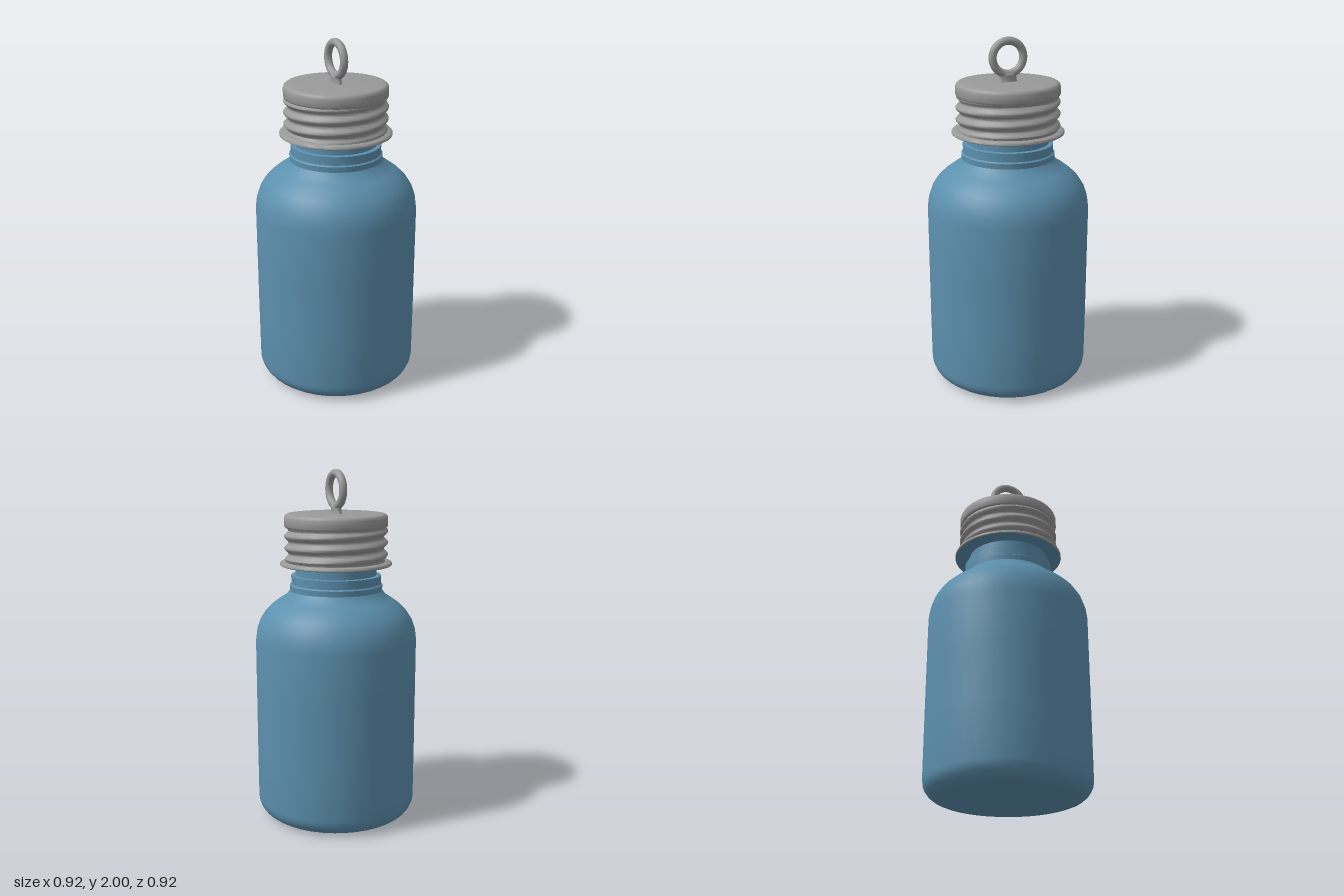
import * as THREE from 'three';
import { toCreasedNormals } from 'three/addons/utils/BufferGeometryUtils.js';

const SEGMENTS = 40;

// Revolve [radius, height] pairs, listed from bottom to top
function revolve(profile, segments = SEGMENTS) {
  return new THREE.LatheGeometry(profile.map(([r, y]) => new THREE.Vector2(r, y)), segments);
}

function addMesh(group, name, geometry, material) {
  const mesh = new THREE.Mesh(geometry, material);
  mesh.name = name;
  group.add(mesh);
  return mesh;
}

// Sleeve whose radius follows a helical wave, fading out at both ends
function threadGeometry(bottom, top, radius, depth, pitch) {
  const rows = 28;
  const profile = [];
  for (let i = 0; i <= rows; i++) profile.push([radius, bottom + (top - bottom) * i / rows]);
  const geometry = revolve(profile, 64);
  const p = geometry.attributes.position;
  for (let i = 0; i < p.count; i++) {
    const angle = Math.atan2(p.getX(i), p.getZ(i));
    const y = p.getY(i);
    const fade = Math.min(1, (y - bottom) / 0.02, (top - y) / 0.02);
    const r = radius + depth * fade * Math.cos(2 * Math.PI * (y - bottom) / pitch - angle);
    p.setX(i, r * Math.sin(angle));
    p.setZ(i, r * Math.cos(angle));
  }
  return toCreasedNormals(geometry, 0.9);
}

export function createModel() {
  const model = new THREE.Group();
  model.name = 'bottle';
  const blue = new THREE.MeshStandardMaterial({ color: 0x5c90ae });
  blue.name = 'blue body';
  const grey = new THREE.MeshStandardMaterial({ color: 0x9a9a9a });
  grey.name = 'grey cap';

  // Bottle body with rounded base and domed shoulder
  const body = [[0, 0], [0.36, 0]];
  for (let i = 1; i <= 6; i++) {
    const a = i / 6 * Math.PI / 2;
    body.push([0.36 + 0.1 * Math.sin(a), 0.1 - 0.1 * Math.cos(a)]);
  }
  body.push([0.461, 0.4], [0.461, 0.75], [0.461, 1.04], [0.453, 1.1], [0.434, 1.155],
    [0.403, 1.203], [0.365, 1.24], [0.325, 1.27], [0.285, 1.295], [0.262, 1.325]);
  addMesh(model, 'body', toCreasedNormals(revolve(body), 0.7), blue);

  // Stepped neck with a collar, closing against the cap
  const neck = [[0.262, 1.315], [0.264, 1.355], [0.255, 1.362], [0.255, 1.41],
    [0.23, 1.412], [0.23, 1.468]];
  addMesh(model, 'neck', toCreasedNormals(revolve(neck), 0.6), blue);
  addMesh(model, 'capSeal', revolve([[0.22, 1.466], [0.312, 1.466]].map(([r, y]) => [r, y])), blue);

  // Cap: flange, screw thread and rounded lid
  const flange = [[0.311, 1.466], [0.317, 1.47], [0.317, 1.48], [0.311, 1.486], [0.27, 1.488]];
  addMesh(model, 'capFlange', toCreasedNormals(revolve(flange), 0.9), grey);
  addMesh(model, 'capThread', threadGeometry(1.484, 1.685, 0.281, 0.012, 0.066), grey);
  const lid = [[0.272, 1.676], [0.287, 1.68], [0.292, 1.69], [0.292, 1.732],
    [0.287, 1.746], [0.277, 1.753], [0.262, 1.755], [0, 1.755]];
  addMesh(model, 'capLid', toCreasedNormals(revolve(lid), 0.9), grey);

  // Carrying loop standing in the yz plane on a flattened stem
  const ring = addMesh(model, 'carryRing', new THREE.TorusGeometry(0.09, 0.0225, 14, 36), grey);
  ring.rotation.y = Math.PI / 2;
  ring.position.y = 1.887;
  const stem = addMesh(model, 'ringStem',
    revolve([[0.056, 1.75], [0.05, 1.765], [0.048, 1.785], [0.055, 1.803], [0, 1.803]], 24), grey);
  stem.scale.x = 0.46;

  return model;
}
